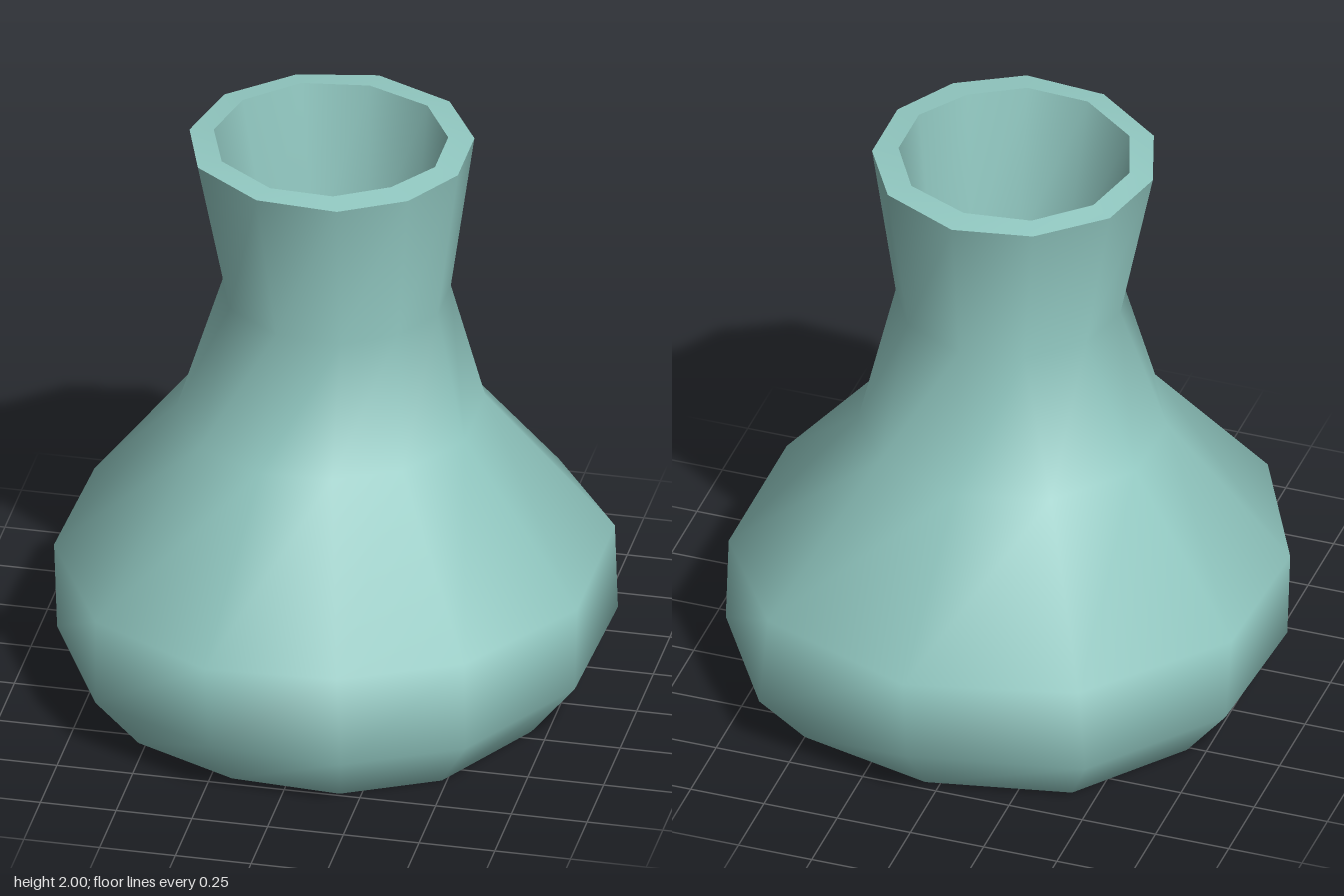
import * as THREE from 'three';

const material = new THREE.MeshStandardMaterial({ color: 0x92c9c2 });

// Uneven eleven-sided outlines as [x, z], all starting at the back
const belly = [[0.06, -0.9], [0.59, -0.7], [0.86, -0.31], [0.86, 0.26], [0.58, 0.69], [0.2, 0.875],
  [-0.23, 0.9], [-0.64, 0.67], [-0.88, 0.2], [-0.86, -0.32], [-0.49, -0.76]];
const lower = [[0.06, -0.87], [0.61, -0.73], [0.87, -0.31], [0.85, 0.25], [0.59, 0.71], [0.22, 0.9],
  [-0.22, 0.87], [-0.64, 0.67], [-0.87, 0.2], [-0.84, -0.32], [-0.51, -0.75]];
const rim = [[0.05, -0.45], [0.31, -0.33], [0.44, -0.11], [0.44, 0.14], [0.32, 0.34], [0.11, 0.46],
  [-0.16, 0.44], [-0.39, 0.27], [-0.47, 0.03], [-0.41, -0.22], [-0.21, -0.4]];
const mouth = [[0.04, -0.36], [0.25, -0.27], [0.36, -0.08], [0.36, 0.12], [0.25, 0.28], [0.08, 0.38],
  [-0.13, 0.37], [-0.32, 0.23], [-0.39, 0.03], [-0.34, -0.18], [-0.18, -0.33]];

// Outline placed at a height, scaled and shifted
const ring = (outline, y, s = 1, dx = 0, dz = 0) =>
  outline.map(([x, z]) => [x * s + dx, y, z * s + dz]);

function meshFrom(name, points, index) {
  const geometry = new THREE.BufferGeometry();
  geometry.setAttribute('position', new THREE.Float32BufferAttribute(points.flat(), 3));
  geometry.setIndex(index);
  geometry.computeVertexNormals();
  const mesh = new THREE.Mesh(geometry, material);
  mesh.name = name;
  return mesh;
}

// Smooth skin through a stack of rings
function loft(name, rings) {
  const n = rings[0].length, index = [];
  for (let r = 0; r < rings.length - 1; r++) {
    for (let i = 0; i < n; i++) {
      const a = r * n + i, b = r * n + (i + 1) % n;
      index.push(a, a + n, b, b, a + n, b + n);
    }
  }
  return meshFrom(name, rings.flat(), index);
}

// Flat fan closing a ring, facing up or down
function cap(name, points, up) {
  const n = points.length, index = [];
  for (let i = 0; i < n; i++) {
    const j = (i + 1) % n;
    index.push(n, up ? j : i, up ? i : j);
  }
  return meshFrom(name, [...points, [0, points[0][1], 0]], index);
}

export function createModel() {
  const group = new THREE.Group();
  group.name = 'vase';

  const base = ring(lower, 0, 0.82);
  const lip = ring(rim, 1.99);
  const opening = ring(mouth, 2);
  const floor = ring(mouth, 1, 0.74, 0.015, -0.005);

  group.add(
    loft('body', [
      base,
      ring(lower, 0.2),
      ring(belly, 0.5),
      ring(belly, 1, 0.55, -0.015, -0.02),
      ring(rim, 1.45, 0.8, 0.015),
      lip,
    ]),
    loft('rim', [lip, opening]),
    loft('innerWall', [opening, ring(mouth, 1.45, 0.79, 0.015, -0.015), floor]),
    cap('innerFloor', floor, true),
    cap('base', base, false),
  );
  return group;
}
